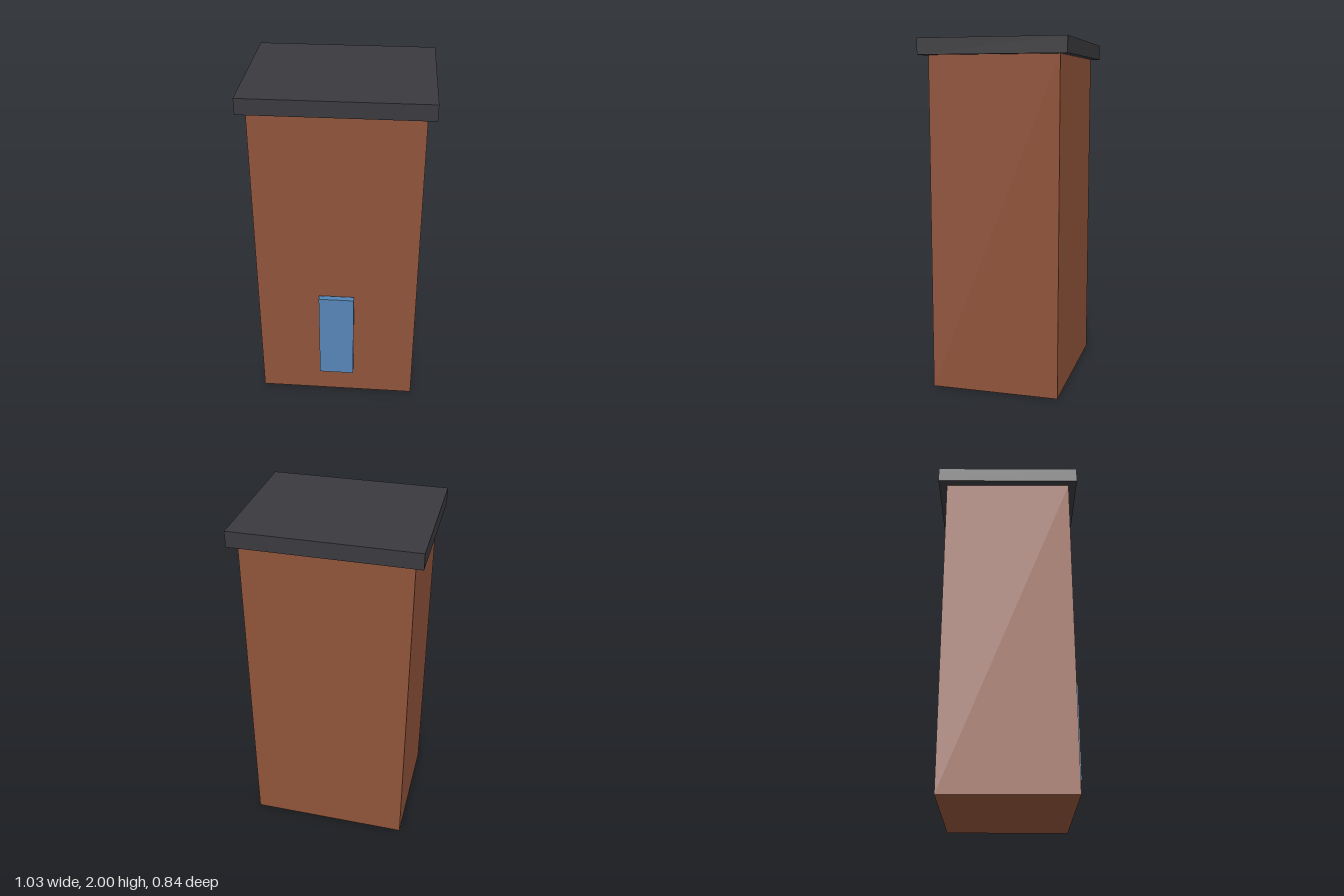
import * as THREE from 'three';

// Box given by its size, the height of its underside and its z centre
function addBox(group, name, color, [w, h, d], bottom, z = 0) {
  const mesh = new THREE.Mesh(
    new THREE.BoxGeometry(w, h, d),
    new THREE.MeshStandardMaterial({ color })
  );
  mesh.name = name;
  mesh.position.set(0, bottom + h / 2, z);
  group.add(mesh);
}

export function createModel() {
  const tower = new THREE.Group();
  tower.name = 'tower';

  // Brick-coloured block
  addBox(tower, 'walls', 0x8f533a, [0.936, 1.91, 0.74], 0);
  // Flat slab overhanging the walls on every side
  addBox(tower, 'roof', 0x3a393e, [1.03, 0.09, 0.836], 1.91);
  // Blue panel standing just clear of the front wall
  addBox(tower, 'window', 0x5584b5, [0.206, 0.572, 0.034], 0.175, 0.396);

  return tower;
}
